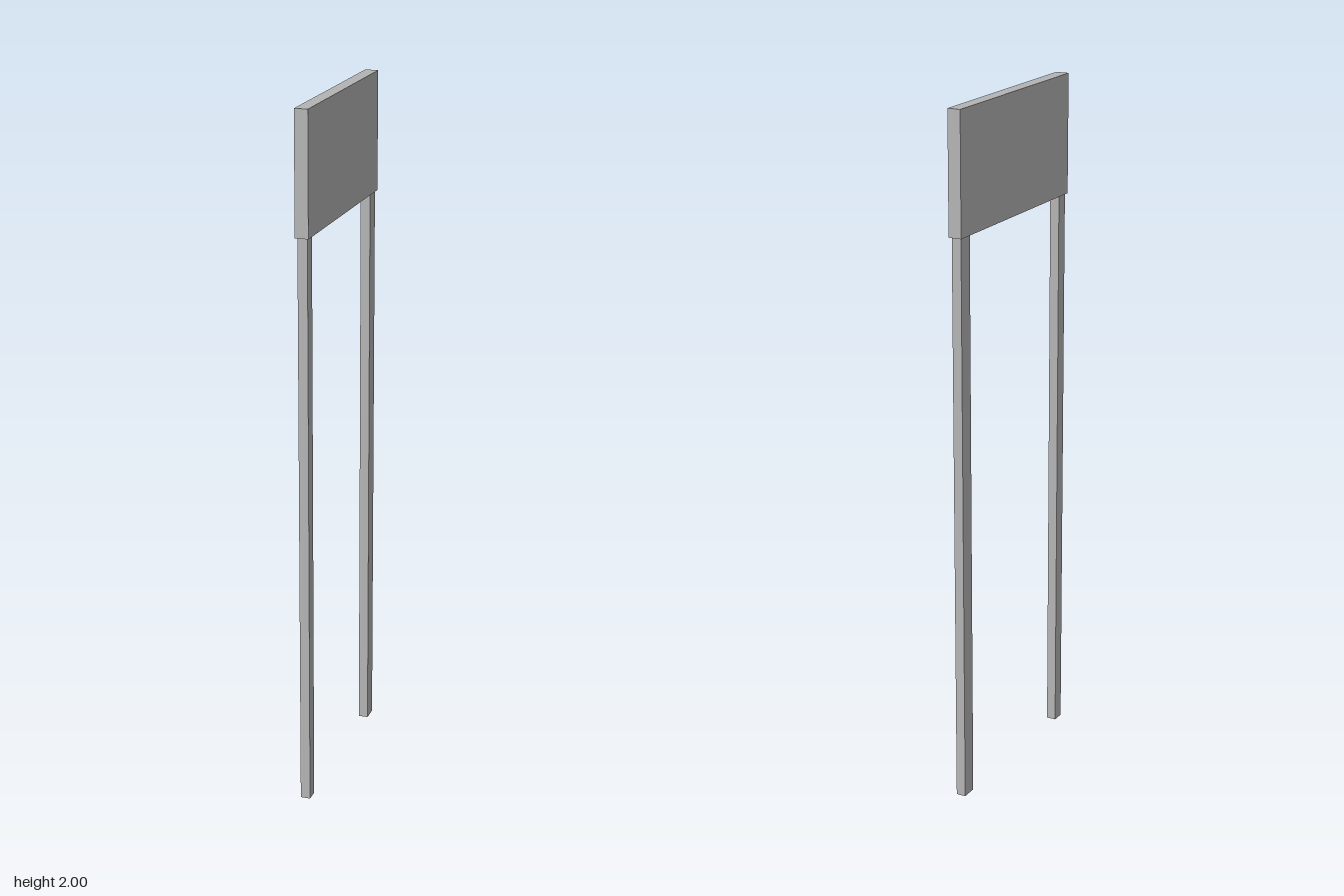
import * as THREE from 'three';

export function createModel() {
  const model = new THREE.Group();
  const grey = new THREE.MeshStandardMaterial({ color: 0xb4b4b4 });
  grey.name = 'plain grey';

  // Box spanning the given height and depth ranges, centred on x
  const addBox = (name, width, [y0, y1], [z0, z1]) => {
    const mesh = new THREE.Mesh(new THREE.BoxGeometry(width, y1 - y0, z1 - z0), grey);
    mesh.name = name;
    mesh.position.set(0, (y0 + y1) / 2, (z0 + z1) / 2);
    model.add(mesh);
  };

  // Upright board on two posts; the rear post is a little wider
  addBox('signBoard', 0.038, [1.655, 2], [-0.306, 0.306]);
  addBox('frontPost', 0.028, [0, 1.655], [0.262, 0.299]);
  addBox('rearPost', 0.028, [0, 1.655], [-0.298, -0.251]);

  return model;
}
